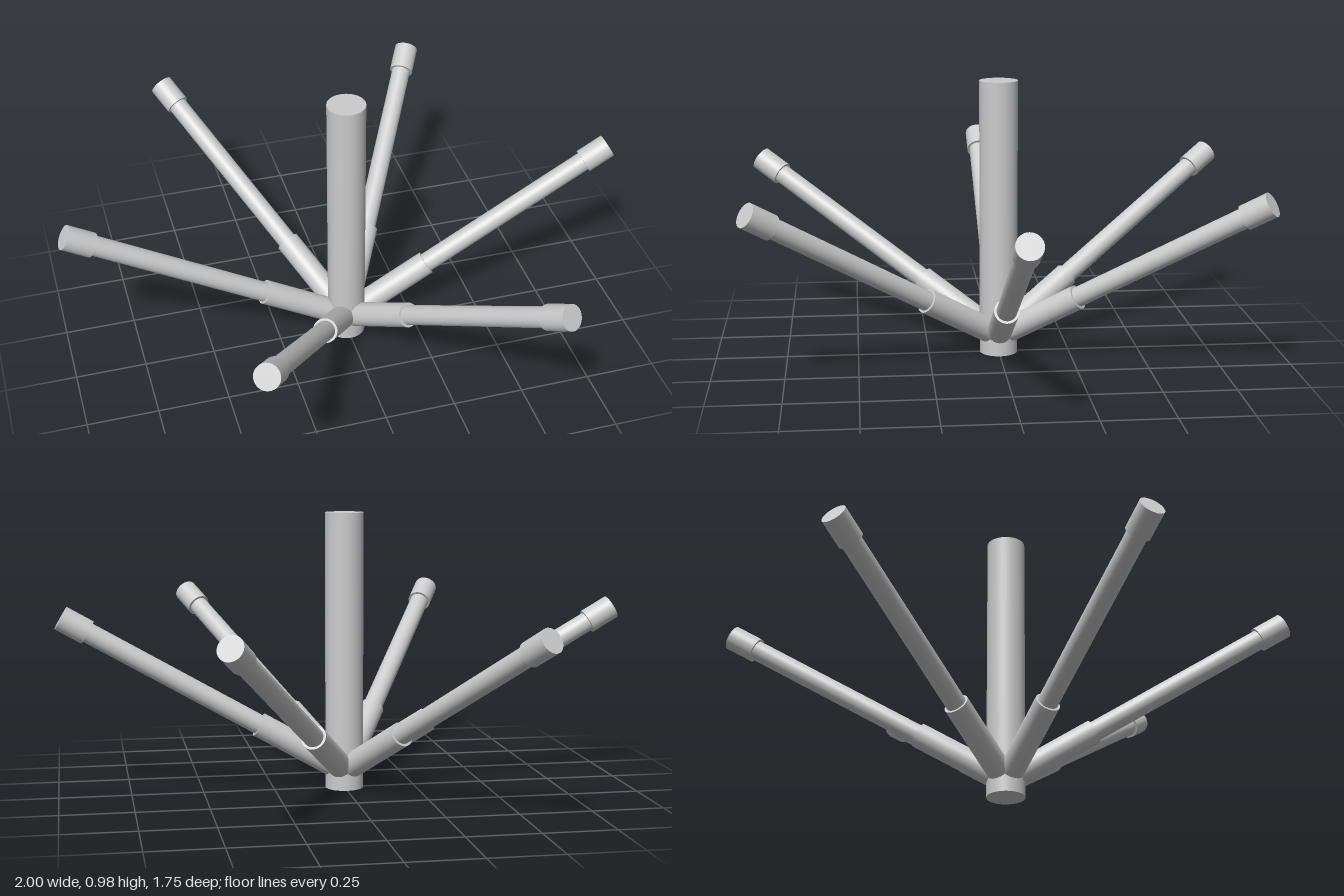
import * as THREE from 'three';

const material = new THREE.MeshStandardMaterial({ color: 0xcccccc });

// Upright cylinder spanning y = from..to
function cylinder(name, radius, from, to) {
  const geometry = new THREE.CylinderGeometry(radius, radius, to - from, 48);
  geometry.translate(0, (from + to) / 2, 0);
  const mesh = new THREE.Mesh(geometry, material);
  mesh.name = name;
  return mesh;
}

// One arm: thick sleeve at the hub, thin rod, end cap; built along +y, tilted 30° above horizontal
function createArm(angle) {
  const tilted = new THREE.Group();
  tilted.add(
    cylinder('sleeve', 0.0435, 0, 0.35),
    cylinder('rod', 0.035, 0.34, 1.04),
    cylinder('endCap', 0.0435, 1.027, 1.13)
  );
  tilted.rotation.z = -Math.PI / 3;
  tilted.position.y = 0.06;
  const arm = new THREE.Group();
  arm.name = 'arm';
  arm.rotation.y = angle;
  arm.add(tilted);
  return arm;
}

export function createModel() {
  const model = new THREE.Group();
  model.name = 'radialStand';

  // Central post
  model.add(cylinder('post', 0.067, 0, 0.975));

  // Six arms evenly spaced around the post
  for (let i = 0; i < 6; i++) model.add(createArm((i * Math.PI) / 3));

  return model;
}
